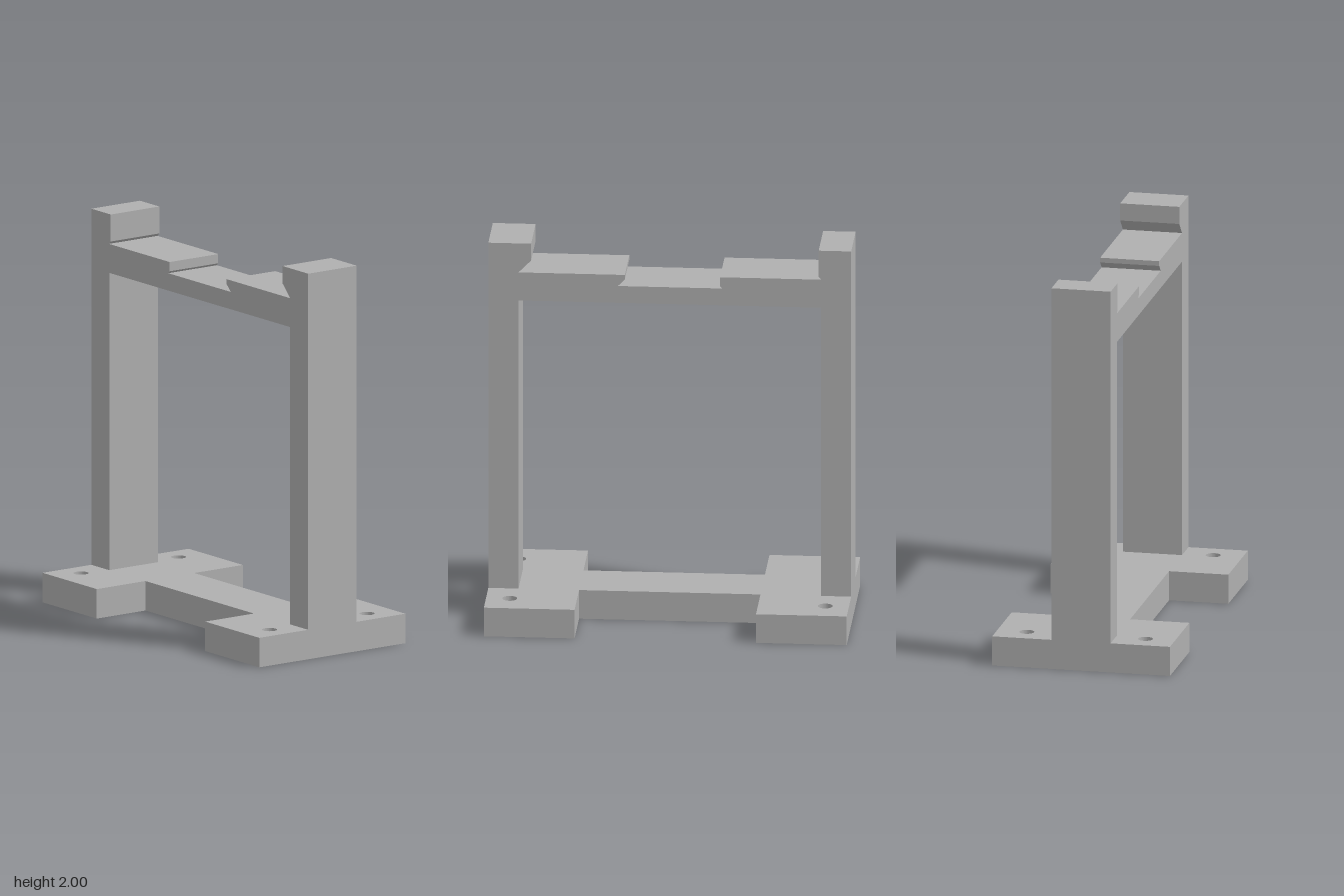
import * as THREE from 'three';

const shapeFrom = (points) => new THREE.Shape(points.map(([x, y]) => new THREE.Vector2(x, y)));

export function createModel() {
  const model = new THREE.Group();
  model.name = 'mountingStand';
  const grey = new THREE.MeshStandardMaterial({ color: 0xb0b0b0 });
  grey.name = 'grey';

  // H-shaped base plate with a screw hole in each foot
  const W = 0.92, D = 0.46, footX = 0.46, barZ = 0.153, baseH = 0.153;
  const plate = shapeFrom([
    [-W, -D], [-footX, -D], [-footX, -barZ], [footX, -barZ], [footX, -D], [W, -D],
    [W, D], [footX, D], [footX, barZ], [-footX, barZ], [-footX, D], [-W, D],
  ]);
  for (const sx of [-1, 1]) for (const sz of [-1, 1]) {
    plate.holes.push(new THREE.Path().absarc(sx * 0.8, sz * 0.307, 0.038, 0, Math.PI * 2, true));
  }
  const baseGeometry = new THREE.ExtrudeGeometry(plate, { depth: baseH, bevelEnabled: false, curveSegments: 16 });
  baseGeometry.rotateX(-Math.PI / 2);
  const base = new THREE.Mesh(baseGeometry, grey);
  base.name = 'basePlate';
  model.add(base);

  // Upright frame: two posts and a crossbar with undercut notches along its top
  const inner = 0.767, beamBottom = 1.695, beamTop = 1.845, notch = 1.785;
  const profile = shapeFrom([
    [-W, baseH], [-inner, baseH], [-inner, beamBottom],
    [inner, beamBottom], [inner, baseH], [W, baseH],
    [W, 2], [0.703, 2], [0.703, 1.91], [0.767, beamTop],
    [0.228, beamTop], [0.228, 1.82], [0.263, notch],
    [-0.267, notch], [-0.255, 1.797], [-0.255, beamTop],
    [-0.77, beamTop], [-0.755, 1.86], [-0.755, 2], [-W, 2],
  ]);
  const frameGeometry = new THREE.ExtrudeGeometry(profile, { depth: barZ * 2, bevelEnabled: false });
  frameGeometry.translate(0, 0, -barZ);
  const frame = new THREE.Mesh(frameGeometry, grey);
  frame.name = 'uprightFrame';
  model.add(frame);

  return model;
}
